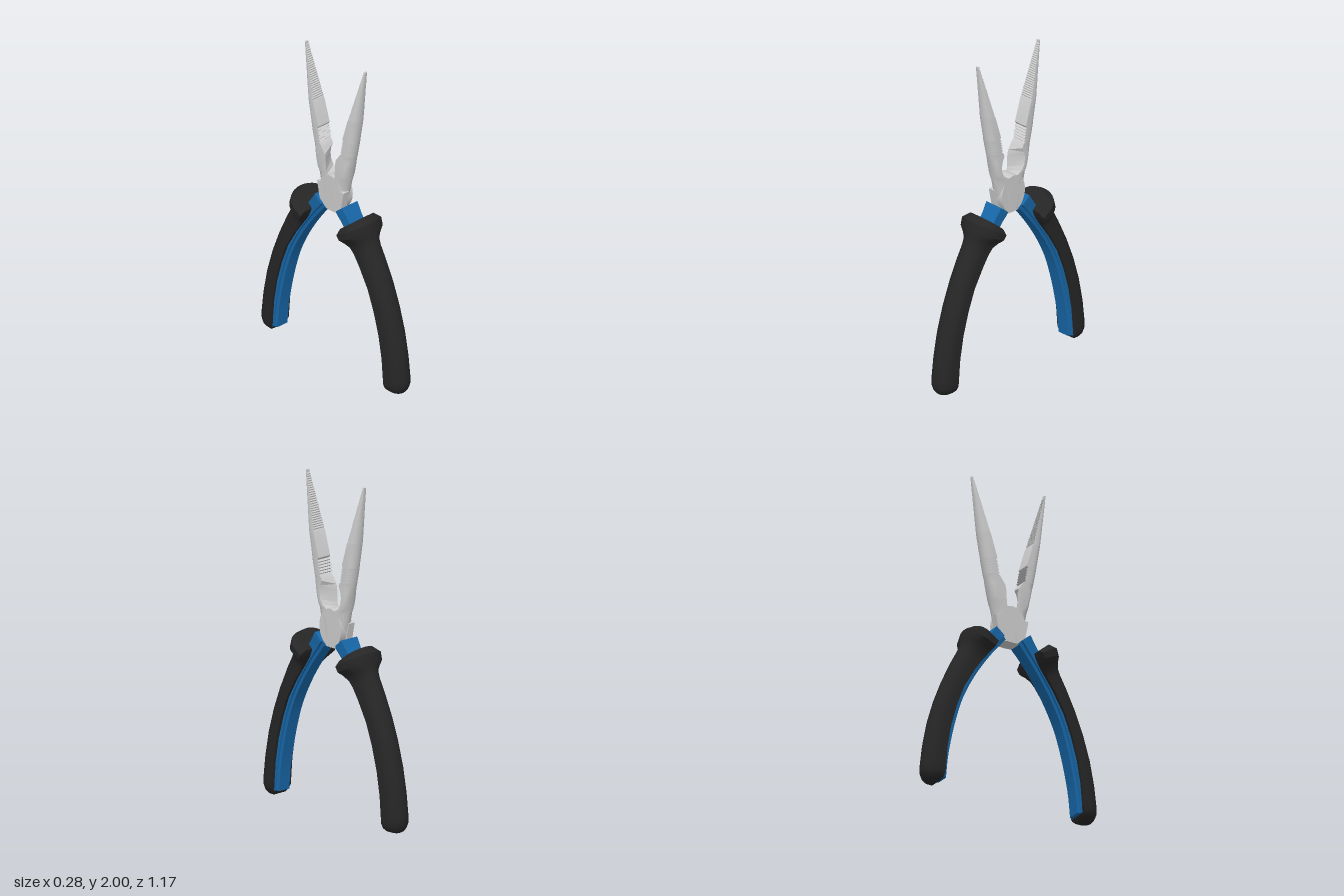
import * as THREE from 'three';
import { toCreasedNormals } from 'three/addons/utils/BufferGeometryUtils.js';

const steel = new THREE.MeshStandardMaterial({ color: 0xcccccc });
const blue = new THREE.MeshStandardMaterial({ color: 0x1767a8 });
const black = new THREE.MeshStandardMaterial({ color: 0x262626 });

// Skin closed loops of [x, y, z] points, with a fan cap at both ends
function loft(loops, crease) {
  const n = loops[0].length, pos = loops.flat(2), idx = [];
  for (let i = 0; i < loops.length - 1; i++) {
    for (let j = 0; j < n; j++) {
      const a = i * n + j, b = i * n + (j + 1) % n;
      idx.push(a, b, b + n, a, b + n, a + n);
    }
  }
  for (const end of [0, loops.length - 1]) {
    const c = pos.length / 3;
    pos.push(...[0, 1, 2].map(k => loops[end].reduce((s, p) => s + p[k], 0) / n));
    for (let j = 0; j < n; j++) {
      const a = end * n + j, b = end * n + (j + 1) % n;
      end ? idx.push(a, b, c) : idx.push(b, a, c);
    }
  }
  // Turn the faces outward if the enclosed volume is negative
  const v = i => new THREE.Vector3().fromArray(pos, i * 3);
  let volume = 0;
  for (let i = 0; i < idx.length; i += 3) volume += v(idx[i]).dot(v(idx[i + 1]).cross(v(idx[i + 2])));
  if (volume < 0) idx.reverse();
  const g = new THREE.BufferGeometry();
  g.setAttribute('position', new THREE.Float32BufferAttribute(pos, 3));
  g.setIndex(idx);
  return toCreasedNormals(g, crease);
}

function add(group, name, geometry, material) {
  const mesh = new THREE.Mesh(geometry, material);
  mesh.name = name;
  group.add(mesh);
}

// Handle section: profile points (across, inner-to-outer) placed between an inner and outer point
const section = (profile, [iz, iy, oz, oy, w], side) =>
  profile.map(([x, t]) => [x * w, iy + (oy - iy) * t, (iz + (oz - iz) * t) * side]);

// Flat-backed half-round profile of the rubber grip
const gripProfile = [[-1, 0], [1, 0]];
for (let i = 0; i <= 16; i++) {
  const a = Math.PI * i / 16;
  gripProfile.push([Math.cos(a), 0.36 + 0.64 * Math.sin(a)]);
}
// Flared collar, curved shaft, rounded end: inner z, y, outer z, y, half width
const gripStations = [
  [.143, .96, .25, 1.05, .105], [.15, .935, .295, 1.025, .14], [.165, .905, .312, .975, .135],
  [.18, .88, .315, .945, .105], [.20, .85, .322, .92, .08], [.225, .815, .34, .88, .073],
  [.27, .75, .38, .805, .073], [.34, .63, .44, .675, .073], [.39, .50, .495, .535, .073],
  [.43, .36, .54, .385, .073], [.455, .22, .57, .235, .073], [.466, .09, .587, .10, .073],
  [.468, .055, .586, .06, .072], [.474, .028, .575, .03, .063], [.486, .01, .56, .011, .045],
  [.505, .001, .54, .002, .02]
];

// Inner handle strip: a stepped bar swept along a curve
const stripProfile = [[-.72, 0], [.72, 0], [.8, .22], [1, .26], [1, 1], [-1, 1], [-1, .26], [-.8, .22]];
const stripCurve = new THREE.SplineCurve([
  [.042, 1.008], [.125, .91], [.205, .80], [.272, .69], [.33, .57], [.37, .45], [.403, .32], [.43, .18], [.445, .037]
].map(p => new THREE.Vector2(...p)));

function strip(side) {
  const stations = [];
  for (let i = 0; i <= 28; i++) {
    const p = stripCurve.getPoint(i / 28), t = stripCurve.getTangent(i / 28);
    const d = .094 - .024 * Math.min(1, i / 6);
    stations.push([p.x, p.y, p.x - t.y * d, p.y + t.x * d, i < 2 ? .06 : .055]);
  }
  return loft(stations.map(s => section(stripProfile, s, side)), 0.6);
}

// Jaw: y, inner z on the -x side, inner z on the +x side, outer z, half width
const jawKeys = [
  [1.00, 0, 0, .065, .045], [1.15, .01, .01, .103, .045], [1.22, .03, .03, .118, .045],
  [1.24, .036, .068, .122, .045], [1.27, .037, .086, .128, .045], [1.31, .038, .093, .137, .045],
  [1.35, .045, .086, .148, .045], [1.38, .066, .072, .155, .045], [1.40, .08, .08, .16, .045],
  [1.51, .10, .10, .182, .045], [1.65, .142, .142, .205, .044], [2.00, .24, .25, .252, .01]
];
jawKeys[jawKeys.length - 1][2] = .24;

function jawAt(y) {
  let i = 0;
  while (i < jawKeys.length - 2 && y > jawKeys[i + 1][0]) i++;
  const [a, b] = [jawKeys[i], jawKeys[i + 1]], t = (y - a[0]) / (b[0] - a[0]);
  return a.map((v, k) => v + (b[k] - v) * t);
}

function jaw(side) {
  const stations = jawKeys.map(k => [...k]);
  // Coarse pipe teeth and fine tip teeth cut into the inner face
  const teeth = (from, to, count, depth) => {
    for (let i = 1; i < count * 2; i++) {
      const s = jawAt(from + (to - from) * i / (count * 2));
      if (i % 2) { s[1] += depth; s[2] += depth; }
      stations.push(s);
    }
  };
  teeth(1.405, 1.505, 6, .011);
  teeth(1.66, 1.99, 26, .004);
  stations.sort((a, b) => a[0] - b[0]);
  const loops = stations.map(([y, im, ip, out, w]) => {
    const mid = Math.max(im, ip), rise = t => mid + (out - mid) * t;
    const back = [[1, .45], [.88, .7], [.65, .87], [.35, .97], [0, 1], [-.35, .97], [-.65, .87], [-.88, .7], [-1, .45]];
    return [[-w, y, im * side], [w, y, ip * side], ...back.map(([x, t]) => [x * w, y, rise(t) * side])];
  });
  return loft(loops, 0.5);
}

export function createModel() {
  const model = new THREE.Group();
  model.name = 'pliers';

  // Pivot joint between the two halves
  const pivot = new THREE.CylinderGeometry(.115, .115, .09, 48);
  pivot.rotateZ(Math.PI / 2).scale(1, 1, .8).translate(0, 1.114, 0);
  add(model, 'pivotJoint', pivot, steel);

  for (const side of [1, -1]) {
    const half = new THREE.Group();
    half.name = side > 0 ? 'frontHalf' : 'backHalf';
    add(half, 'jaw', jaw(side), steel);

    // Half-lap shoulder next to the joint
    const lap = [[1.0, .03], [1.03, .085], [1.155, .11], [1.16, .03]];
    add(half, 'lapShoulder', loft([-.045, 0].map(x => lap.map(([y, z]) => [x, y, z * side])), 0.4), steel);

    add(half, 'handleStrip', strip(side), blue);
    add(half, 'handleGrip', loft(gripStations.map(s => section(gripProfile, s, side)), 0.65), black);
    model.add(half);
  }
  return model;
}
